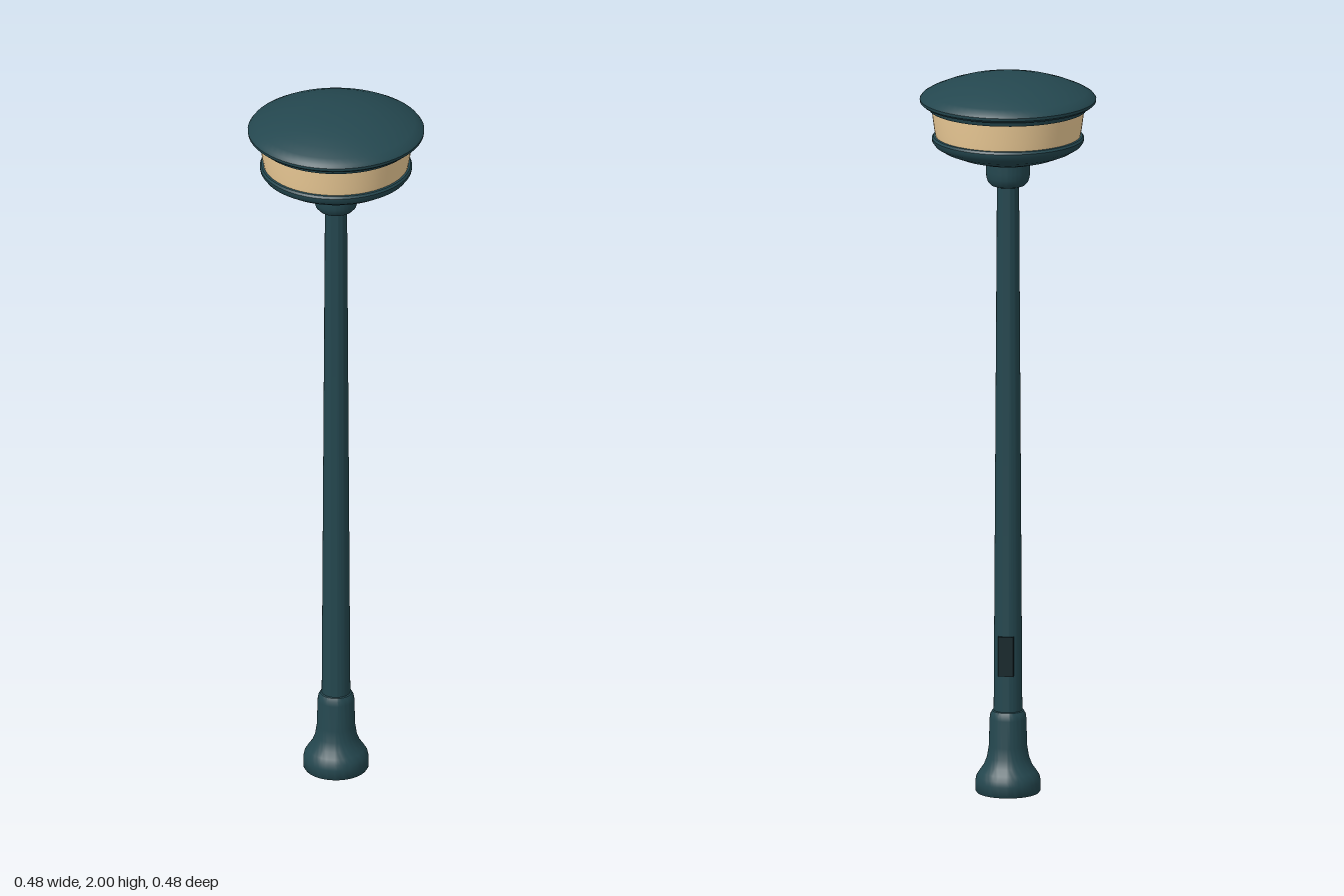
import * as THREE from 'three';
import { toCreasedNormals } from 'three/addons/utils/BufferGeometryUtils.js';

export function createModel() {
  const group = new THREE.Group();
  const paint = new THREE.MeshStandardMaterial({ color: 0x24474f });
  const glass = new THREE.MeshStandardMaterial({ color: 0xf2d09a });
  const dark = new THREE.MeshStandardMaterial({ color: 0x14262b });

  const add = (name, geometry, material) => {
    const mesh = new THREE.Mesh(geometry, material);
    mesh.name = name;
    group.add(mesh);
    return mesh;
  };
  // Turned part: [radius, height] pairs listed from bottom to top
  const turned = (name, points, material) => {
    const profile = points.map(([r, y]) => new THREE.Vector2(r, y));
    const lathe = new THREE.LatheGeometry(profile, 64);
    return add(name, toCreasedNormals(lathe, 0.6), material);
  };

  // Flared foot with a rounded shoulder
  turned('base', [
    [0, 0], [0.085, 0], [0.089, 0.006], [0.089, 0.03], [0.086, 0.045], [0.078, 0.058],
    [0.066, 0.075], [0.057, 0.098], [0.052, 0.13], [0.05, 0.205], [0.048, 0.218],
    [0.043, 0.227], [0.036, 0.23], [0, 0.23],
  ], paint);

  // Tapered pole
  turned('pole', [[0.039, 0.22], [0.03, 1.72]], paint);

  // Service hatch on the back of the pole
  const hatch = add('serviceHatch', new THREE.BoxGeometry(0.042, 0.11, 0.016), dark);
  hatch.position.set(0, 0.385, -0.035);

  // Collar joining pole and lamp head
  turned('collar', [
    [0, 1.692], [0.036, 1.692], [0.047, 1.696], [0.055, 1.705], [0.059, 1.718], [0.06, 1.735],
    [0.06, 1.77], [0, 1.77],
  ], paint);

  // Shallow bowl under the light
  turned('lowerBowl', [
    [0, 1.755], [0.05, 1.757], [0.09, 1.764], [0.135, 1.777], [0.175, 1.793], [0.198, 1.807],
    [0.206, 1.818], [0.207, 1.827], [0.203, 1.833], [0.19, 1.835], [0, 1.835],
  ], paint);

  // Glowing diffuser band
  turned('diffuser', [[0.196, 1.828], [0.201, 1.855], [0.209, 1.915]], glass);

  // Domed cap with a stepped rim
  turned('cap', [
    [0, 1.908], [0.215, 1.908], [0.218, 1.914], [0.219, 1.919], [0.232, 1.922], [0.239, 1.928],
    [0.24, 1.936], [0.234, 1.944], [0.215, 1.955], [0.18, 1.97], [0.14, 1.983], [0.095, 1.993],
    [0.05, 1.998], [0, 2],
  ], paint);

  return group;
}
